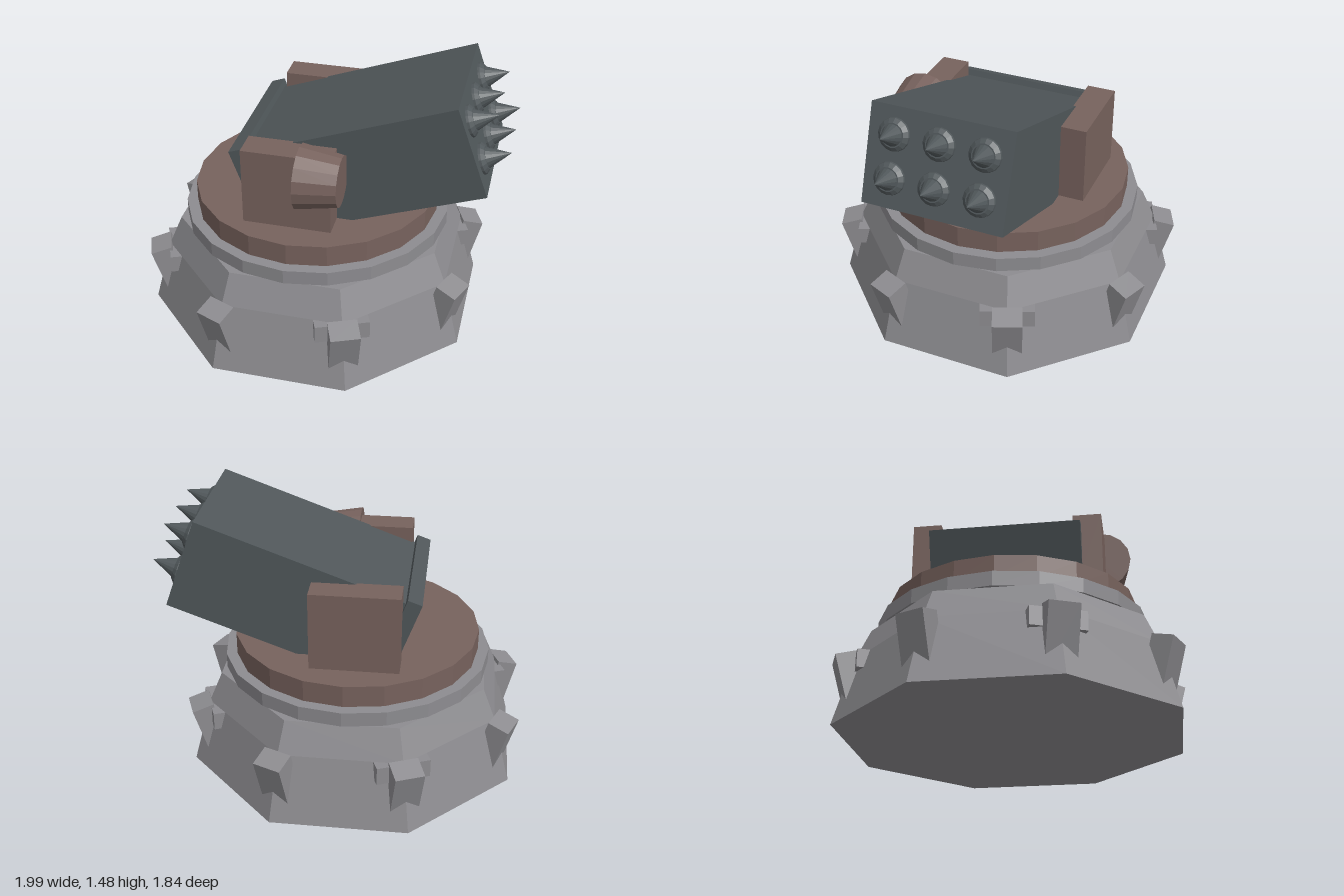
import * as THREE from 'three';

const mat = (name, color) => {
  const m = new THREE.MeshStandardMaterial({ color, flatShading: true });
  m.name = name;
  return m;
};

export function createModel() {
  const grey = mat('stoneGrey', 0x8d8c90);
  const brown = mat('dullBrown', 0x77625d);
  const slate = mat('darkSlate', 0x50575a);

  const model = new THREE.Group();
  model.name = 'rocketTurret';

  const add = (parent, name, geometry, material, x = 0, y = 0, z = 0) => {
    const mesh = new THREE.Mesh(geometry, material);
    mesh.name = name;
    mesh.position.set(x, y, z);
    parent.add(mesh);
    return mesh;
  };
  const lathe = (profile, sides, start = 0) =>
    new THREE.LatheGeometry(profile.map(p => new THREE.Vector2(...p)), sides, start);

  // Everything round sits on one axis, slightly off centre
  const base = new THREE.Group();
  base.name = 'base';
  base.position.x = -0.075;
  model.add(base);

  // Eight-sided foundation with a bevelled upper band
  const k = 1 / Math.cos(Math.PI / 8);
  add(base, 'foundation',
    lathe([[0, 0], [0.885 * k, 0], [0.79 * k, 0.37], [0.72 * k, 0.54], [0, 0.54]], 8, Math.PI / 8), grey);
  add(base, 'collarRing', new THREE.CylinderGeometry(0.74, 0.74, 0.08, 20), grey, 0, 0.58, 0);
  add(base, 'turntable', new THREE.CylinderGeometry(0.68, 0.68, 0.12, 20), brown, 0, 0.68, 0);

  // Leaning buttress on every corner, with a cross bar on every other one
  for (let i = 0; i < 8; i++) {
    const corner = new THREE.Group();
    corner.name = 'cornerButtress';
    corner.rotation.y = Math.PI / 8 + i * Math.PI / 4;
    base.add(corner);
    const block = new THREE.BoxGeometry(0.158, 0.34, 0.12).translate(0, -0.17, -0.06);
    add(corner, 'buttress', block, grey, 0, 0.357, 0.965).rotation.x = 0.28;
    if (i % 2 === 0) {
      add(corner, 'crossBar', new THREE.BoxGeometry(0.29, 0.1, 0.12), grey, 0, 0.32, 0.8);
    }
  }

  // Uprights that carry the launcher
  for (const side of [1, -1]) {
    add(model, side > 0 ? 'frontUpright' : 'backUpright',
      new THREE.BoxGeometry(0.475, 0.45, 0.155), brown, -0.113, 0.947, side * 0.4425);
  }

  // Tapered sight drum beside the launcher, narrow end forward
  const drum = new THREE.CylinderGeometry(0.137, 0.174, 0.22, 16).rotateZ(-Math.PI / 2);
  add(model, 'sightDrum', drum, brown, 0.065, 1.046, 0.487);

  // Raised launcher box with a rear plate
  const launcher = new THREE.Group();
  launcher.name = 'launcher';
  launcher.position.set(0.268, 1.035, 0);
  launcher.rotation.z = THREE.MathUtils.degToRad(20);
  model.add(launcher);
  add(launcher, 'launcherBox', new THREE.BoxGeometry(1.16, 0.515, 0.76), slate);
  add(launcher, 'rearPlate', new THREE.BoxGeometry(0.08, 0.585, 0.82), slate, -0.62, 0, 0);

  // Two rows of three rockets with flared collars
  const rocket = lathe([[0.085, 0], [0.083, 0.012], [0.062, 0.03], [0.055, 0.03], [0, 0.155]], 16)
    .rotateZ(-Math.PI / 2);
  for (const v of [0.117, -0.105]) {
    for (const z of [-0.24, 0, 0.24]) add(launcher, 'rocketTip', rocket, slate, 0.58, v, z);
  }

  return model;
}
